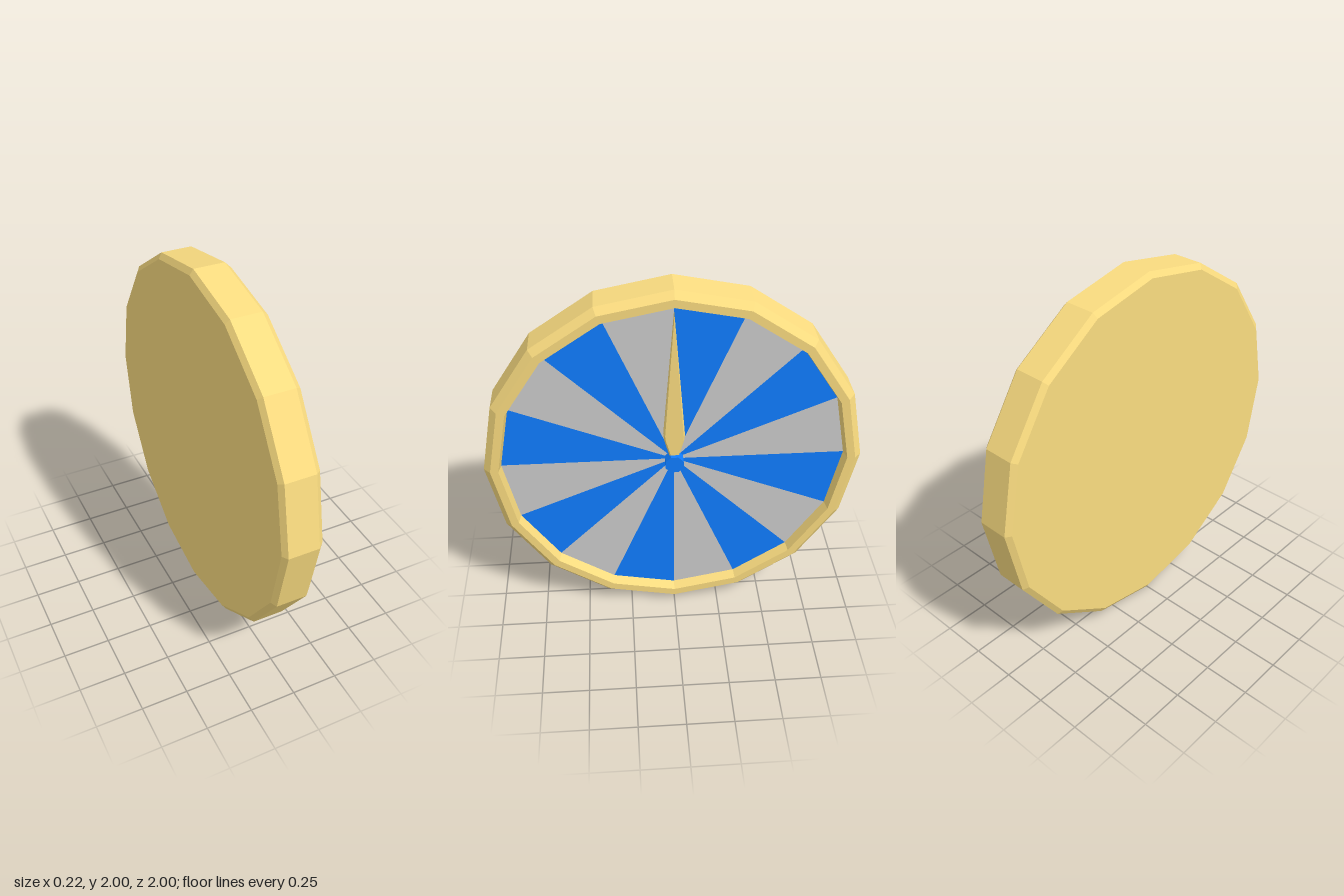
import * as THREE from 'three';

const SIDES = 16;
const FACE_R = 0.912, FACE_Z = 0.05;

const material = (color) => new THREE.MeshStandardMaterial({ color, flatShading: true });

function part(name, geometry, mat) {
  const flat = geometry.index ? geometry.toNonIndexed() : geometry;
  flat.computeVertexNormals();
  const mesh = new THREE.Mesh(flat, mat);
  mesh.name = name;
  return mesh;
}

export function createModel() {
  const gold = material(0xfadc80);
  const blue = material(0x107dff);
  const grey = material(0xcccccc);

  // Built facing +z, centred on the hub, then turned to face +x
  const wheel = new THREE.Group();
  wheel.name = 'wheel';

  // Chamfered rim with closed back and recessed inner wall
  const profile = [
    [0, -0.11], [0.97, -0.11], [1, -0.09], [1, 0.075],
    [0.965, 0.11], [0.922, 0.11], [FACE_R, FACE_Z],
  ].map(([r, z]) => new THREE.Vector2(r, z));
  wheel.add(part('rim', new THREE.LatheGeometry(profile, SIDES).rotateX(Math.PI / 2), gold));

  // Alternating wedges, clockwise from the top
  const wedges = new THREE.Group();
  wedges.name = 'wedges';
  const step = (Math.PI * 2) / SIDES;
  for (let i = 0; i < SIDES; i++) {
    const start = Math.PI / 2 - (i + 1) * step;
    const wedge = part('wedge', new THREE.CircleGeometry(FACE_R, 1, start, step), i % 2 ? grey : blue);
    // A one-segment circle is a single triangle from the hub to the rim
    wedge.position.z = FACE_Z;
    wedges.add(wedge);
  }
  wheel.add(wedges);

  // Tapered pointer with bevelled edges
  const outline = [[0, 0.87], [-0.048, 0.17], [-0.044, 0.14], [-0.014, 0.03],
    [0.014, 0.03], [0.044, 0.14], [0.048, 0.17]];
  const shape = new THREE.Shape(outline.map(([x, y]) => new THREE.Vector2(x, y)));
  const pointer = part('pointer', new THREE.ExtrudeGeometry(shape, {
    depth: 0.025, bevelEnabled: true, bevelThickness: 0.008,
    bevelSize: 0.008, bevelOffset: 0, bevelSegments: 1,
  }), gold);
  pointer.position.z = FACE_Z + 0.005;
  wheel.add(pointer);

  // Octagonal hub
  const hubGeometry = new THREE.CylinderGeometry(0.052, 0.052, 0.06, 8)
    .rotateY(Math.PI / 8).rotateX(Math.PI / 2);
  const hub = part('hub', hubGeometry, blue);
  hub.position.z = FACE_Z + 0.03;
  wheel.add(hub);

  wheel.rotation.y = Math.PI / 2;
  wheel.position.y = 1;

  const model = new THREE.Group();
  model.name = 'spinnerWheel';
  model.add(wheel);
  return model;
}
